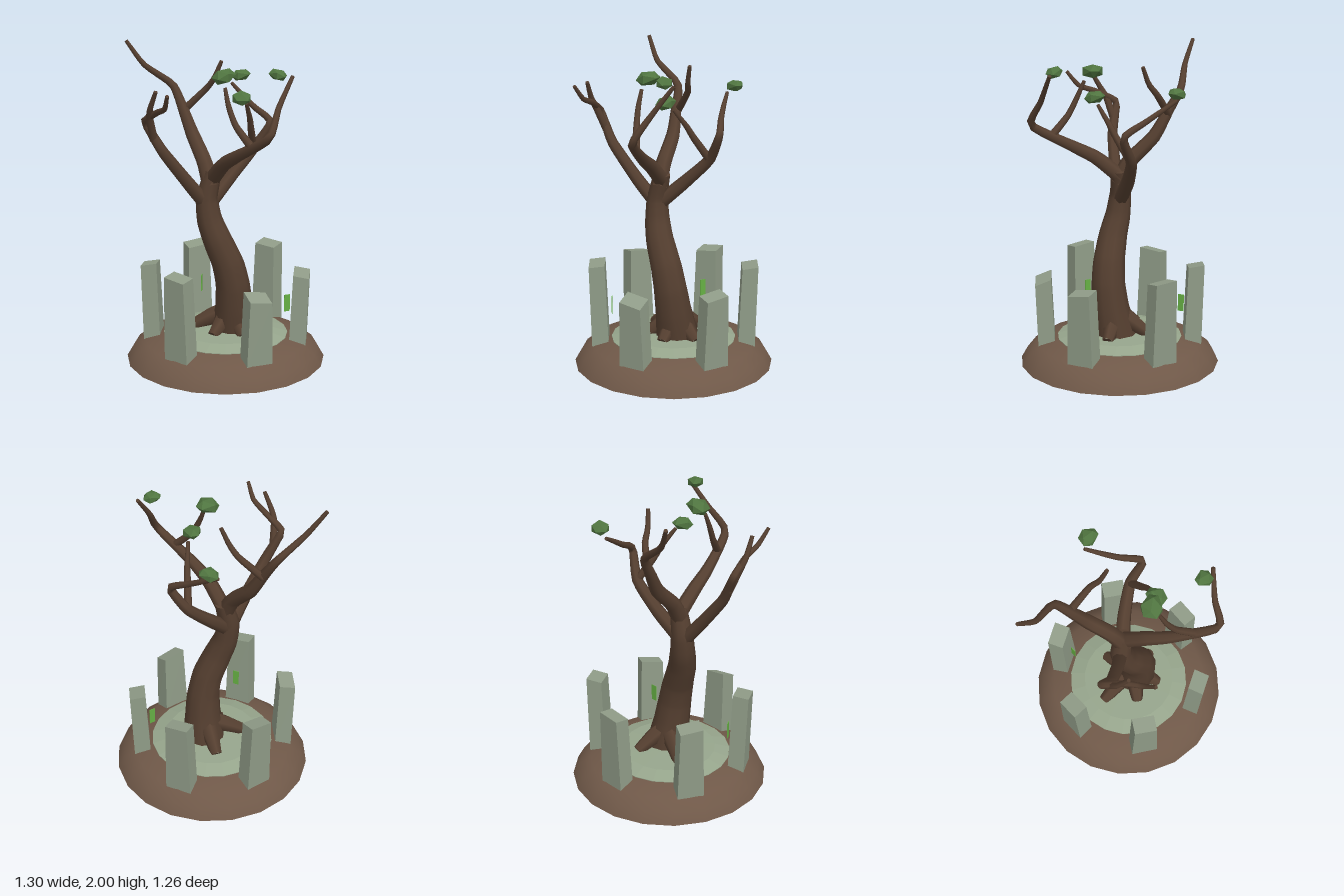
import * as THREE from 'three';

const mat = (color, flat = false) =>
  new THREE.MeshStandardMaterial({ color, flatShading: flat, side: THREE.DoubleSide });
const bark = mat(0x553f30);
const earth = mat(0x6f5848);
const moss = mat(0x96a58c, true);
const rock = mat(0x8f9b87, true);
const leaf = mat(0x507540, true);
const glow = mat(0x66b044, true);
const CX = 0.015; // centre of the mound and the stone ring

function add(parent, name, geometry, material) {
  const mesh = new THREE.Mesh(geometry, material);
  mesh.name = name;
  parent.add(mesh);
  return mesh;
}

// Tapered limb through points [x, y, z, radius], closed at the tip
function limb(parent, name, pts, sides = 7) {
  const curve = new THREE.CatmullRomCurve3(
    pts.map(p => new THREE.Vector3(p[0], p[1], p[2])), false, 'catmullrom', 0.3);
  const segs = (pts.length - 1) * 4;
  const geo = new THREE.TubeGeometry(curve, segs, 1, sides);
  const pos = geo.attributes.position, v = new THREE.Vector3();
  for (let i = 0; i <= segs; i++) {
    const centre = curve.getPointAt(i / segs);
    const t = curve.getUtoTmapping(i / segs) * (pts.length - 1);
    const k = Math.min(Math.floor(t), pts.length - 2);
    const r = THREE.MathUtils.lerp(pts[k][3], pts[k + 1][3], t - k);
    for (let j = 0; j <= sides; j++) {
      const n = i * (sides + 1) + j;
      v.fromBufferAttribute(pos, n).sub(centre).multiplyScalar(r).add(centre);
      pos.setXYZ(n, v.x, v.y, v.z);
    }
  }
  add(parent, name, geo, bark);
  const cap = add(parent, name + 'Tip', new THREE.CircleGeometry(pts.at(-1)[3], sides), bark);
  cap.position.copy(curve.getPoint(1));
  cap.lookAt(curve.getPoint(1).add(curve.getTangent(1)));
}

function lathe(parent, name, profile, material) {
  const geo = new THREE.LatheGeometry(profile.map(p => new THREE.Vector2(...p)), 20);
  add(parent, name, geo, material).position.x = CX;
}

// Standing stone: box narrowed, leaned outward and slanted at the top
function stone(parent, angle, top, slantX, slantZ) {
  const base = 0.12;
  const geo = new THREE.BoxGeometry(0.17, top - base, 0.105);
  geo.translate(0, (top + base) / 2, 0);
  const pos = geo.attributes.position;
  for (let i = 0; i < pos.count; i++) {
    if (pos.getY(i) < top - 0.01) continue;
    const x = pos.getX(i), z = pos.getZ(i);
    pos.setXYZ(i, x * 0.85, top + Math.sign(x) * slantX + Math.sign(z) * slantZ, z * 0.95 + 0.018);
  }
  geo.computeVertexNormals();
  const mesh = add(parent, 'standingStone', geo, rock);
  mesh.position.set(CX + 0.463 * Math.sin(angle), 0, 0.463 * Math.cos(angle));
  mesh.rotation.y = angle;
}

export function createModel() {
  const model = new THREE.Group();
  model.name = 'treeShrine';

  // Ground
  lathe(model, 'mound', [[0, 0], [0.63, 0], [0.63, 0], [0.59, 0.07], [0.515, 0.125],
    [0.39, 0.163], [0.28, 0.182], [0, 0.19]], earth);
  lathe(model, 'mossCap', [[0.395, 0.155], [0.395, 0.165], [0.3, 0.192], [0, 0.203]], moss);

  // Ring of stones, counted from the front toward +x
  const ring = new THREE.Group();
  ring.name = 'stoneRing';
  model.add(ring);
  [[0.652, -0.008, -0.006], [0.545, -0.012, -0.02], [0.575, 0.01, -0.008],
    [0.637, 0.004, 0.008], [0.62, -0.008, 0.008], [0.607, 0.008, -0.008]]
    .forEach(([top, sx, sz], i) => stone(ring, i * Math.PI / 3, top, sx, sz));

  // Small glowing slips in front of every second stone
  for (let i = 0; i < 3; i++) {
    const a = i * Math.PI * 2 / 3;
    const slip = add(ring, 'glowingSlip', new THREE.BoxGeometry(0.04, 0.11, 0.004), glow);
    slip.position.set(CX + 0.39 * Math.sin(a), 0.37, 0.39 * Math.cos(a));
    slip.rotation.y = -a;
  }

  // Tree
  const tree = new THREE.Group();
  tree.name = 'tree';
  model.add(tree);
  limb(tree, 'trunk', [[0.06, 0.17, -0.025, 0.14], [0.08, 0.35, 0, 0.118], [0.085, 0.5, 0.02, 0.107],
    [0.065, 0.64, 0.045, 0.1], [0.01, 0.8, 0.085, 0.09], [-0.035, 0.92, 0.1, 0.08],
    [-0.055, 1.06, 0.1, 0.068], [-0.03, 1.22, 0.07, 0.052]], 10);
  [[-0.1, -0.18], [0.19, -0.14], [0.2, 0.07], [0.04, 0.17], [-0.18, 0.12]].forEach(([x, z]) =>
    limb(tree, 'root', [[0.05, 0.32, -0.02, 0.065], [(x + 0.05) / 2, 0.26, (z - 0.02) / 2, 0.055],
      [x, 0.19, z, 0.036]], 6));

  const branches = {
    rightBranch: [[-0.03, 1.13, 0.09, 0.055], [-0.1, 1.27, 0.06, 0.05], [-0.24, 1.42, 0, 0.044],
      [-0.33, 1.57, -0.02, 0.034], [-0.42, 1.71, -0.03, 0.025], [-0.54, 1.84, 0.1, 0.018],
      [-0.64, 1.99, 0.155, 0.012]],
    rightTwig: [[-0.33, 1.56, -0.03, 0.025], [-0.2, 1.7, -0.09, 0.02], [-0.14, 1.77, -0.09, 0.017],
      [-0.09, 1.88, -0.1, 0.012]],
    leftBranch: [[-0.04, 1.17, 0.07, 0.05], [0.1, 1.3, 0.14, 0.045], [0.24, 1.38, 0.19, 0.037],
      [0.5, 1.53, 0.24, 0.025], [0.49, 1.69, 0.13, 0.018], [0.5, 1.86, 0, 0.012]],
    leftTwig: [[0.37, 1.45, 0.22, 0.026], [0.25, 1.57, 0.22, 0.02], [0.19, 1.68, 0.21, 0.017],
      [0.15, 1.78, 0.19, 0.011]],
    frontBranch: [[-0.06, 1.02, 0.11, 0.045], [-0.1, 1.17, 0.23, 0.041], [-0.17, 1.38, 0.38, 0.034],
      [-0.22, 1.5, 0.43, 0.028], [-0.245, 1.58, 0.46, 0.024], [-0.12, 1.65, 0.5, 0.019],
      [-0.02, 1.69, 0.55, 0.016], [0.04, 1.78, 0.6, 0.011]],
    frontTwig: [[-0.21, 1.46, 0.42, 0.026], [-0.19, 1.6, 0.48, 0.022], [-0.16, 1.67, 0.51, 0.018],
      [-0.1, 1.78, 0.53, 0.012]],
    backBranch: [[-0.04, 1.04, 0.07, 0.048], [0, 1.17, -0.07, 0.043], [0.07, 1.33, -0.22, 0.034],
      [0.16, 1.5, -0.275, 0.024], [0.02, 1.58, -0.29, 0.019], [-0.08, 1.64, -0.31, 0.016],
      [-0.18, 1.7, -0.335, 0.011]],
    backTwig: [[0.07, 1.33, -0.22, 0.026], [0.12, 1.48, -0.12, 0.021], [0.14, 1.55, -0.08, 0.018],
      [0.17, 1.66, 0, 0.011]],
  };
  for (const [name, pts] of Object.entries(branches)) limb(tree, name, pts);

  // Leaf clumps: skewed low polyhedra
  [[-0.15, 1.75, -0.38, 0.06, 0.4], [0.11, 1.84, 0.16, 0.073, 1.2],
    [0.17, 1.7, 0.05, 0.064, 2.3], [0.44, 1.87, 0.055, 0.055, 3.5]].forEach(([x, y, z, s, turn]) => {
    const geo = new THREE.IcosahedronGeometry(s, 0);
    const pos = geo.attributes.position;
    for (let i = 0; i < pos.count; i++) {
      const px = pos.getX(i), py = pos.getY(i), pz = pos.getZ(i);
      pos.setXYZ(i, px * (px > 0 ? 1.25 : 0.9), py * 0.65 + px * 0.15, pz * (px > 0 ? 0.7 : 1));
    }
    geo.computeVertexNormals();
    const clump = add(tree, 'leafClump', geo, leaf);
    clump.position.set(x, y, z);
    clump.rotation.y = turn;
  });

  return model;
}
